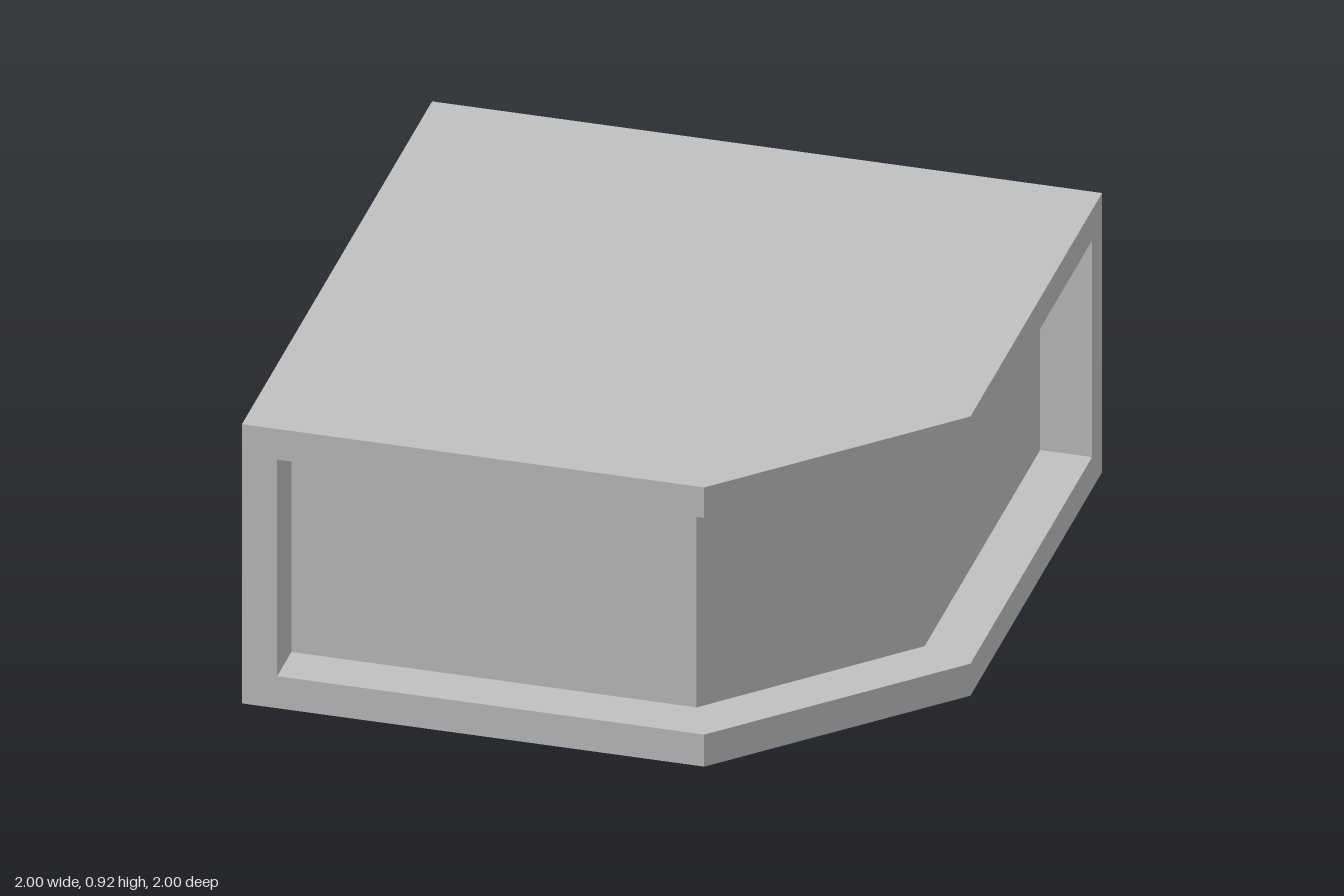
import * as THREE from 'three';

const HEIGHT = 0.915;
const LIP_BOTTOM = 0.105;
const LIP_TOP = 0.815;

// Plan outlines as [x, z] corners
const OUTER = [[-1, 1], [0.38, 1], [1, 0.385], [1, -1], [-1, -1]];
const RECESSED = [
  [-1, 1], [-0.895, 1], [-0.895, 0.85], [0.315, 0.85],
  [0.845, 0.32], [0.845, -0.895], [1, -0.895], [1, -1], [-1, -1],
];

// Extrudes a plan outline upwards between two heights
function slab(name, plan, y0, y1, material) {
  const shape = new THREE.Shape(plan.map(([x, z]) => new THREE.Vector2(x, -z)));
  const geometry = new THREE.ExtrudeGeometry(shape, { depth: y1 - y0, bevelEnabled: false });
  geometry.rotateX(-Math.PI / 2);
  geometry.translate(0, y0, 0);
  const mesh = new THREE.Mesh(geometry, material);
  mesh.name = name;
  return mesh;
}

export function createModel() {
  const grey = new THREE.MeshStandardMaterial({ color: 0xc0c0c0 });
  grey.name = 'light grey';

  const model = new THREE.Group();
  model.name = 'cornerBlock';
  model.add(
    // Base and roof plates with the cut corner
    slab('basePlate', OUTER, 0, LIP_BOTTOM, grey),
    slab('roofPlate', OUTER, LIP_TOP, HEIGHT, grey),
    // Body set back on the front, corner and left side, with end jambs
    slab('recessedBody', RECESSED, LIP_BOTTOM, LIP_TOP, grey),
  );
  return model;
}
